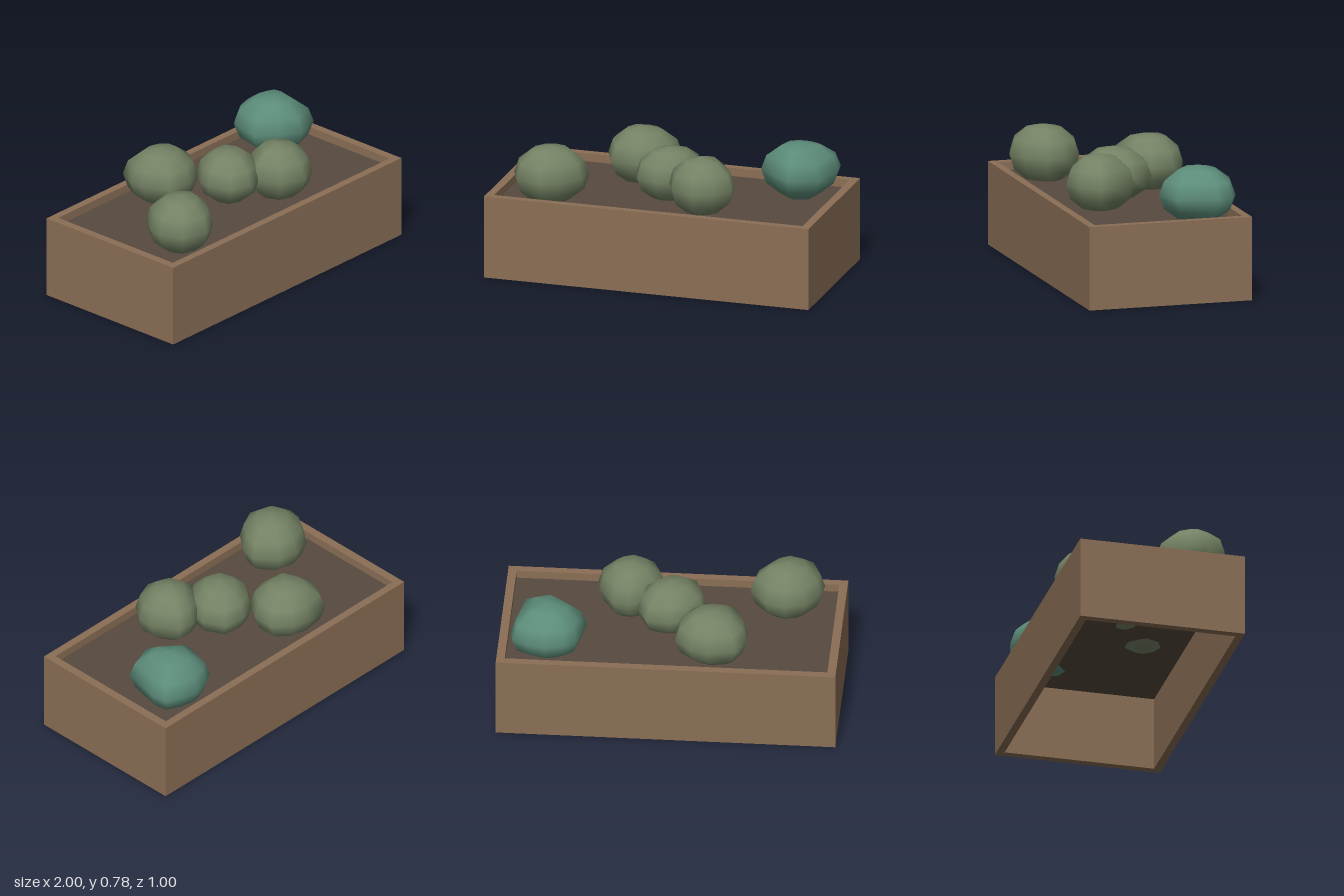
import * as THREE from 'three';
import { mergeVertices } from 'three/addons/utils/BufferGeometryUtils.js';

const material = (name, color, extra = {}) => {
  const m = new THREE.MeshStandardMaterial({ color, ...extra });
  m.name = name;
  return m;
};

const rectangle = (path, w, d) => path
  .moveTo(-w, -d).lineTo(w, -d).lineTo(w, d).lineTo(-w, d).closePath();

// Irregular low-poly shrub: a sphere whose columns follow a plan outline (x, z pairs)
function bushGeometry(outline, cx, cz, top) {
  const n = outline.length / 2, rows = 6, centreY = 0.6;
  let geometry = new THREE.SphereGeometry(1, n, rows);
  const p = geometry.attributes.position;
  for (let i = 0; i < p.count; i++) {
    const row = Math.floor(i / (n + 1)), col = i % (n + 1);
    const k = (n - col) % n;
    const spread = Math.sin(row / rows * Math.PI);
    p.setXYZ(i,
      cx + (outline[2 * k] - cx) * spread,
      centreY + p.getY(i) * (top - centreY),
      cz + (outline[2 * k + 1] - cz) * spread);
  }
  // Weld the seam so shading is smooth all round
  geometry.deleteAttribute('uv');
  geometry.deleteAttribute('normal');
  geometry = mergeVertices(geometry, 1e-4);
  geometry.computeVertexNormals();
  return geometry;
}

export function createModel() {
  const model = new THREE.Group();
  model.name = 'planter';
  const wood = material('wood', 0x8b6f56);
  const earth = material('soil', 0x574a40, { side: THREE.DoubleSide });
  const green = material('sageLeaf', 0x748264);
  const teal = material('tealLeaf', 0x5c8c79);

  const add = (name, geometry, mat) => {
    const mesh = new THREE.Mesh(geometry, mat);
    mesh.name = name;
    model.add(mesh);
    return mesh;
  };

  // Four walls, open below
  const frame = rectangle(new THREE.Shape(), 1, 0.5);
  frame.holes.push(rectangle(new THREE.Path(), 0.95, 0.453));
  const walls = new THREE.ExtrudeGeometry(frame, { depth: 0.5, bevelEnabled: false });
  add('boxWalls', walls.rotateX(-Math.PI / 2), wood);

  // Soil sheet just under the rim
  const soil = new THREE.PlaneGeometry(1.9, 0.906).rotateX(-Math.PI / 2);
  add('soil', soil, earth).position.y = 0.45;

  // Shrubs
  const bushes = [
    ['leftFrontBush', green, -0.665, 0.26, 0.777,
      [-.66, .05, -.545, .08, -.445, .2, -.465, .3, -.555, .415,
        -.67, .47, -.825, .42, -.88, .29, -.865, .2, -.78, .085]],
    ['backBush', green, -0.26, -0.26, 0.772,
      [-.245, -.46, -.14, -.43, -.045, -.345, -.045, -.21, -.125, -.09,
        -.235, -.055, -.395, -.07, -.465, -.225, -.465, -.32, -.405, -.435]],
    ['middleBush', green, 0, 0.035, 0.762,
      [0, -.165, .14, -.15, .205, -.02, .18, .11, .06, .22,
        -.03, .235, -.155, .19, -.2, .055, -.185, -.025, -.1, -.13]],
    ['frontBush', green, 0.245, 0.2, 0.777,
      [.255, .01, .35, .02, .44, .165, .45, .255, .37, .365,
        .25, .41, .11, .35, .045, .2, .1, .12, .175, .035]],
    ['tealBush', teal, 0.705, -0.25, 0.77,
      [.71, -.48, .82, -.455, .91, -.41, .925, -.32, .875, -.08,
        .705, -.02, .6, -.1, .485, -.2, .505, -.3, .53, -.4, .6, -.45]],
  ];
  for (const [name, mat, x, z, top, outline] of bushes) {
    add(name, bushGeometry(outline, x, z, top), mat);
  }
  return model;
}
